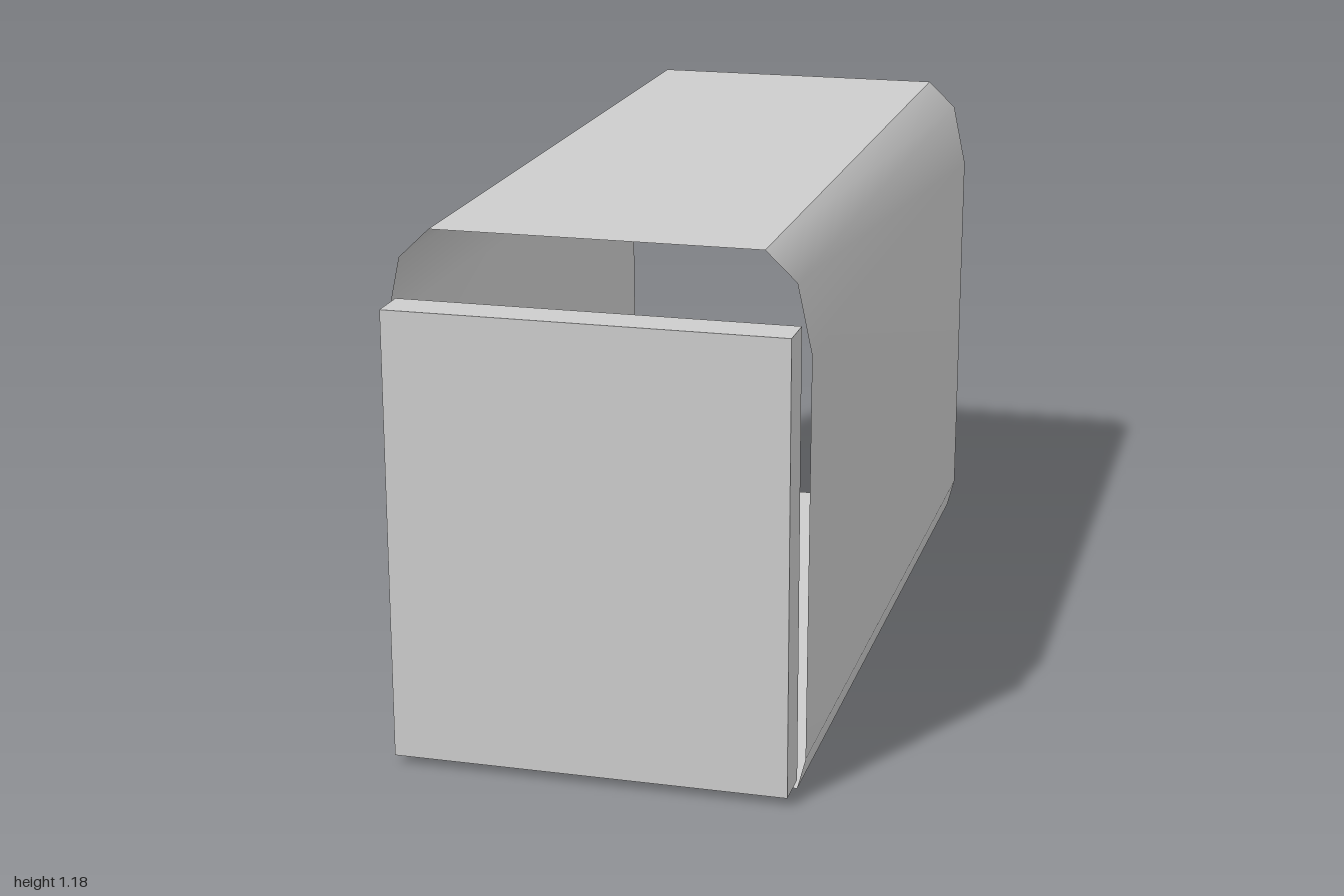
import * as THREE from 'three';

const BACK = -1, FRONT = 0.905;

// Open sheet swept along z from a run of [x, y] points, smooth within the run
function sheet(points, material, name) {
  const positions = [], index = [];
  points.forEach(([x, y], i) => {
    positions.push(x, y, FRONT, x, y, BACK);
    if (i < points.length - 1) {
      const a = 2 * i;
      index.push(a, a + 2, a + 3, a, a + 3, a + 1);
    }
  });
  const geometry = new THREE.BufferGeometry();
  geometry.setAttribute('position', new THREE.Float32BufferAttribute(positions, 3));
  geometry.setIndex(index);
  geometry.computeVertexNormals();
  const mesh = new THREE.Mesh(geometry, material);
  mesh.name = name;
  return mesh;
}

export function createModel() {
  const group = new THREE.Group();
  group.name = 'sleeveWithEndBlock';
  const grey = new THREE.MeshStandardMaterial({ color: 0xcccccc, side: THREE.DoubleSide });
  grey.name = 'light grey';

  // Side wall outline, from the top edge down to the floor
  const wall = [[0.362, 1.185], [0.43, 1.12], [0.462, 0.97], [0.458, 0.07], [0.44, 0]];
  const mirrored = wall.map(([x, y]) => [-x, y]).reverse();
  const top = wall[0], foot = wall[wall.length - 1];

  // Thin sleeve, open at both ends
  group.add(
    sheet(wall, grey, 'leftWall'),
    sheet([foot, mirrored[0]], grey, 'floor'),
    sheet(mirrored, grey, 'rightWall'),
    sheet([[-top[0], top[1]], top], grey, 'roof')
  );

  // Block standing in front of the opening
  const block = new THREE.Mesh(new THREE.BoxGeometry(0.88, 1.01, 1 - FRONT), grey);
  block.position.set(0, 0.525, (1 + FRONT) / 2);
  block.name = 'frontBlock';
  group.add(block);

  return group;
}
